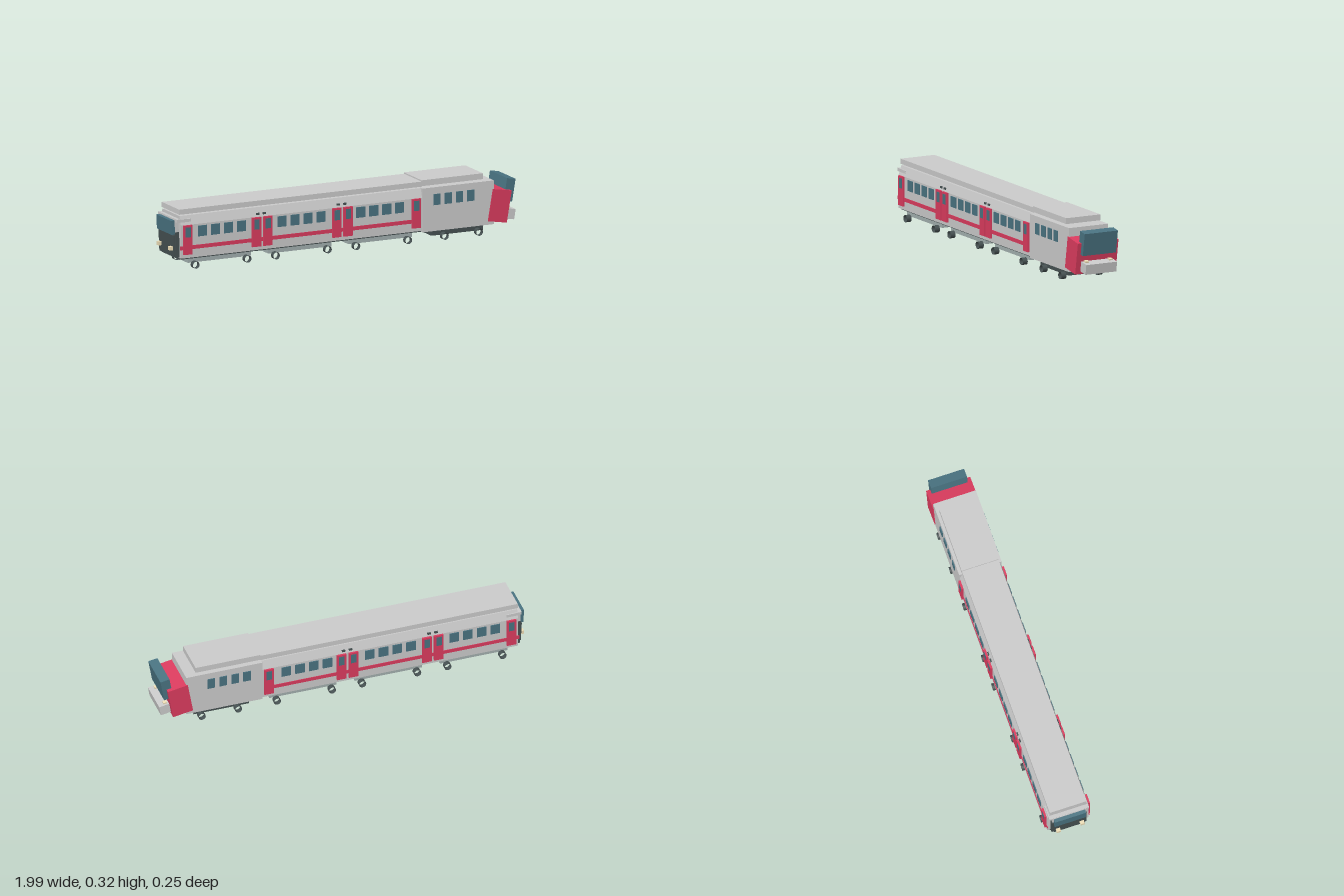
import * as THREE from 'three';

const material = (color) => new THREE.MeshStandardMaterial({ color, flatShading: true });

export function createModel() {
  const train = new THREE.Group();
  train.name = 'train';
  const grey = material(0xcccccc), underGrey = material(0xa3b0af), red = material(0xdc3c5f);
  const teal = material(0x4a7482), dark = material(0x465152), cream = material(0xeedfb8);
  const TILT = -0.17;

  function add(name, geometry, mat, x, y, z, tilt = 0) {
    const mesh = new THREE.Mesh(geometry, mat);
    mesh.name = name;
    mesh.position.set(x, y, z);
    mesh.rotation.z = tilt;
    train.add(mesh);
    return mesh;
  }
  // Box by centre and size
  const box = (name, mat, [x, y, z], [w, h, d], tilt = 0) =>
    add(name, new THREE.BoxGeometry(w, h, d), mat, x, y, z, tilt);
  // Same box on both flanks
  const pair = (name, mat, [x, y, z], size, tilt = 0) => {
    for (const s of [1, -1]) box(name, mat, [x, y, s * z], size, tilt);
  };

  // Coach body: upright sides with shoulders leaning in to the roof
  const section = new THREE.Shape();
  section.moveTo(-0.113, 0.06);
  section.lineTo(0.113, 0.06);
  section.lineTo(0.113, 0.235);
  section.lineTo(0.097, 0.283);
  section.lineTo(-0.097, 0.283);
  section.lineTo(-0.113, 0.235);
  section.closePath();
  const shell = new THREE.ExtrudeGeometry(section, { depth: 1.4, bevelEnabled: false });
  shell.rotateY(Math.PI / 2);
  add('coachBody', shell, grey, -0.95, 0, 0);
  box('coachFloor', dark, [-0.25, 0.058, 0], [1.4, 0.012, 0.2]);
  box('coachRoof', grey, [-0.25, 0.304, 0], [1.405, 0.027, 0.2]);
  pair('redStripe', red, [-0.26, 0.115, 0.114], [1.39, 0.02, 0.004]);

  // Doors with their panes
  for (const x of [-0.912, -0.515, -0.45, -0.05, 0.015, 0.41]) {
    pair('door', red, [x, 0.157, 0.117], [0.051, 0.155, 0.013]);
    pair('doorWindow', teal, [x, 0.198, 0.1235], [0.03, 0.053, 0.003]);
  }

  // Coach windows in three bays, with a pair of vents above each doorway
  for (const start of [-0.825, -0.365, 0.09])
    for (let i = 0; i < 4; i++)
      pair('coachWindow', teal, [start + i * 0.075, 0.197, 0.114], [0.051, 0.056, 0.007]);
  for (const x of [-0.503, -0.465, -0.037, 0.001])
    pair('vent', dark, [x, 0.25, 0.108], [0.018, 0.01, 0.01]);

  // Rear end
  box('rearPanel', dark, [-0.959, 0.13, 0], [0.02, 0.135, 0.19], 0.03);
  box('rearFrame', grey, [-0.958, 0.165, 0], [0.02, 0.2, 0.18], 0.05);
  box('rearHood', grey, [-0.93, 0.258, 0], [0.082, 0.017, 0.216], -0.03);
  box('rearWindscreen', teal, [-0.978, 0.222, 0], [0.024, 0.075, 0.17], 0.05);
  box('rearLowerPanel', dark, [-0.971, 0.125, 0], [0.012, 0.11, 0.17], 0.05);
  pair('rearLamp', cream, [-0.985, 0.11, 0.065], [0.02, 0.02, 0.022]);

  // Engine body
  box('engineBody', grey, [0.653, 0.168, 0], [0.414, 0.232, 0.232]);
  box('engineRoof', grey, [0.627, 0.309, 0], [0.354, 0.031, 0.202]);
  for (let i = 0; i < 4; i++)
    pair('engineWindow', teal, [0.53 + i * 0.065, 0.219, 0.117], [0.04, 0.058, 0.008]);

  // Leaning cab, windscreen and nose
  box('cab', red, [0.893, 0.146, 0], [0.11, 0.17, 0.24], TILT);
  box('windscreen', teal, [0.96, 0.219, 0], [0.05, 0.121, 0.196], TILT);
  box('nose', grey, [0.966, 0.09, 0], [0.058, 0.054, 0.182], TILT);
  pair('headLamp', cream, [0.962, 0.12, 0.07], [0.02, 0.012, 0.021], TILT);

  // Undercarriages with open wheel rims
  const rim = new THREE.CylinderGeometry(0.019, 0.019, 0.028, 20, 1, true).rotateX(Math.PI / 2);
  const rimMaterial = new THREE.MeshStandardMaterial({ color: 0x465152, side: THREE.DoubleSide });
  const wheels = (x) => {
    for (const s of [1, -1]) add('wheel', rim, rimMaterial, x, 0.019, s * 0.108);
  };
  for (const x of [-0.715, -0.25, 0.215]) {
    box('coachUndercarriage', underGrey, [x, 0.046, 0], [0.367, 0.036, 0.182]);
    wheels(x - 0.15);
    wheels(x + 0.15);
  }
  box('engineUndercarriage', dark, [0.661, 0.037, 0], [0.3, 0.03, 0.182]);
  wheels(0.577);
  wheels(0.775);

  return train;
}
